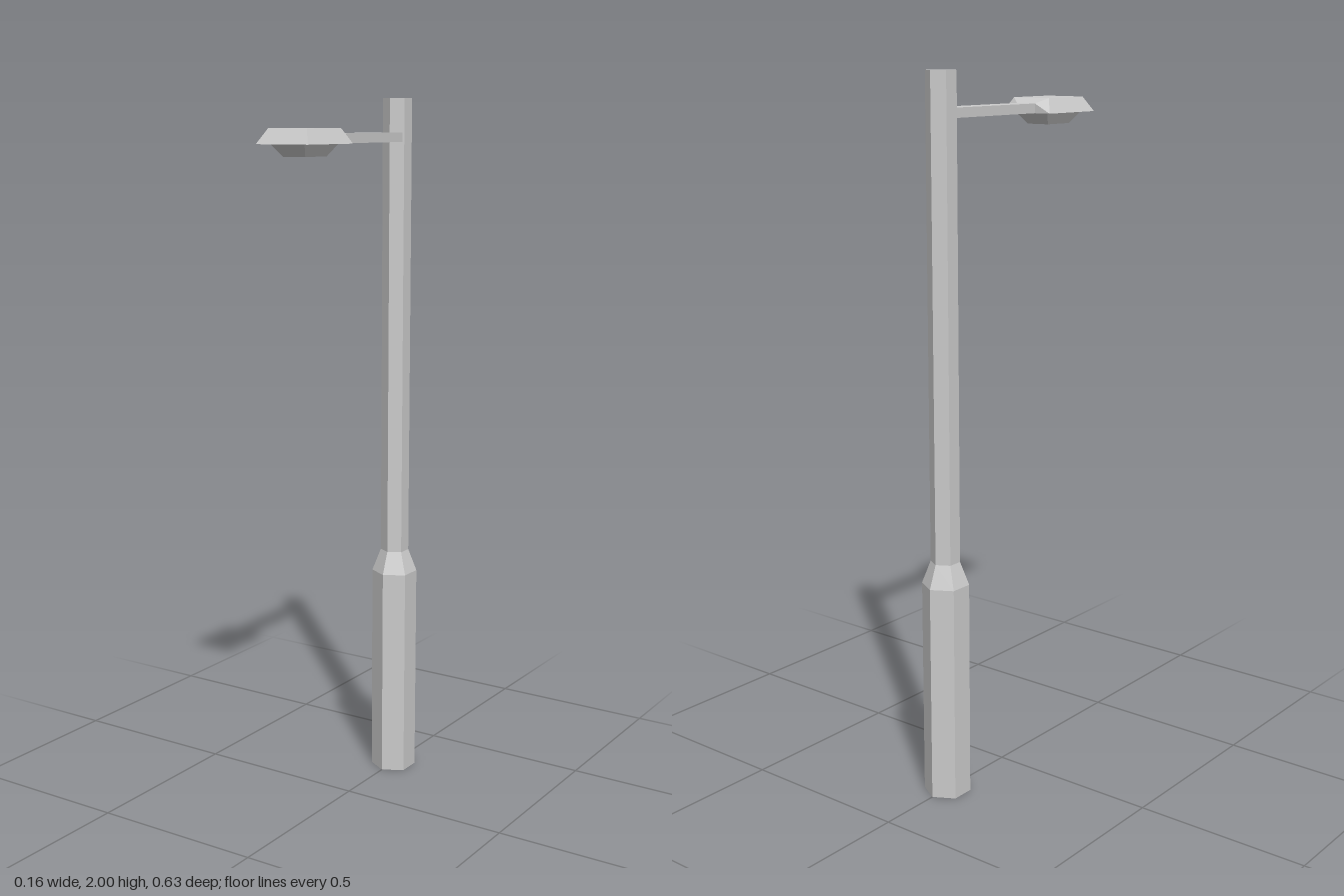
import * as THREE from 'three';

const grey = new THREE.MeshStandardMaterial({ color: 0xcccccc, flatShading: true });

function addMesh(parent, name, geometry) {
  const mesh = new THREE.Mesh(geometry, grey);
  mesh.name = name;
  parent.add(mesh);
  return mesh;
}

// Flat-shaded surface from polygons, corners counter-clockwise from outside
function fromPolygons(polygons) {
  const positions = [];
  for (const p of polygons) {
    for (let i = 1; i < p.length - 1; i++) positions.push(...p[0], ...p[i], ...p[i + 1]);
  }
  const geometry = new THREE.BufferGeometry();
  geometry.setAttribute('position', new THREE.Float32BufferAttribute(positions, 3));
  geometry.computeVertexNormals();
  return geometry;
}

// Rectangle corners: back left, front left, front right, back right (left is +x)
const ring = (hx, y, zBack, zFront) => [
  [hx, y, zBack], [hx, y, zFront], [-hx, y, zFront], [-hx, y, zBack],
];
// Sloping quad between corners i and i + 1 of two rings
const side = (low, high, i) => {
  const j = (i + 1) % 4;
  return [low[j], low[i], high[i], high[j]];
};

export function createModel() {
  const group = new THREE.Group();
  group.name = 'streetLamp';

  // Six-sided post with a thicker base and a short taper
  const profile = [[0, 0], [0.066, 0], [0.066, 0.62], [0.041, 0.685], [0.041, 2], [0, 2]];
  const post = addMesh(group, 'post',
    new THREE.LatheGeometry(profile.map(([r, y]) => new THREE.Vector2(r, y)), 6));
  post.position.z = -0.25;

  // Flat arm from the post to the lamp head
  const armHalf = 0.031, armLow = 1.88, armTop = 1.906, armBack = -0.227, headBack = 0.105;
  const arm = addMesh(group, 'arm',
    new THREE.BoxGeometry(armHalf * 2, armTop - armLow, headBack - armBack));
  arm.position.set(0, (armLow + armTop) / 2, (armBack + headBack) / 2);

  // Lamp head: sloped housing whose back narrows into the arm
  const head = new THREE.Group();
  head.name = 'lampHead';
  group.add(head);
  const rim = ring(0.081, armLow, headBack, 0.313);
  const top = ring(0.06, 1.92, 0.13, 0.287);
  const leftTop = [armHalf, armTop, headBack], rightTop = [-armHalf, armTop, headBack];
  const leftLow = [armHalf, armLow, headBack], rightLow = [-armHalf, armLow, headBack];
  addMesh(head, 'housing', fromPolygons([
    ...[0, 1, 2].map((i) => side(rim, top, i).reverse()),
    [top[0], top[3], top[2], top[1]].reverse(),
    [...rim].reverse(),
    [leftTop, rightTop, top[3], top[0]].reverse(),
    [leftTop, top[0], rim[0], leftLow],
    [rightTop, rightLow, rim[3], top[3]],
  ].map(faceOut)));

  // Lens hanging below the housing
  const lensTop = ring(0.053, armLow, 0.132, 0.287);
  const lensLow = ring(0.035, 1.848, 0.16, 0.258);
  addMesh(head, 'lens', fromPolygons([
    ...[0, 1, 2, 3].map((i) => side(lensLow, lensTop, i)),
    lensLow,
  ].map(faceOut)));

  return group;
}

// Orders a polygon's corners so that it faces away from the middle of the lamp head
function faceOut(polygon) {
  const [a, b, c] = polygon.map((p) => new THREE.Vector3(...p));
  const normal = b.clone().sub(a).cross(c.clone().sub(a));
  const outward = a.clone().sub(new THREE.Vector3(0, 1.879, 0.209));
  // The underside of the rim lies level with the middle and faces down
  const level = polygon.every((p) => p[1] === 1.88);
  const facing = level ? -normal.y : normal.dot(outward);
  return facing < 0 ? [...polygon].reverse() : polygon;
}
